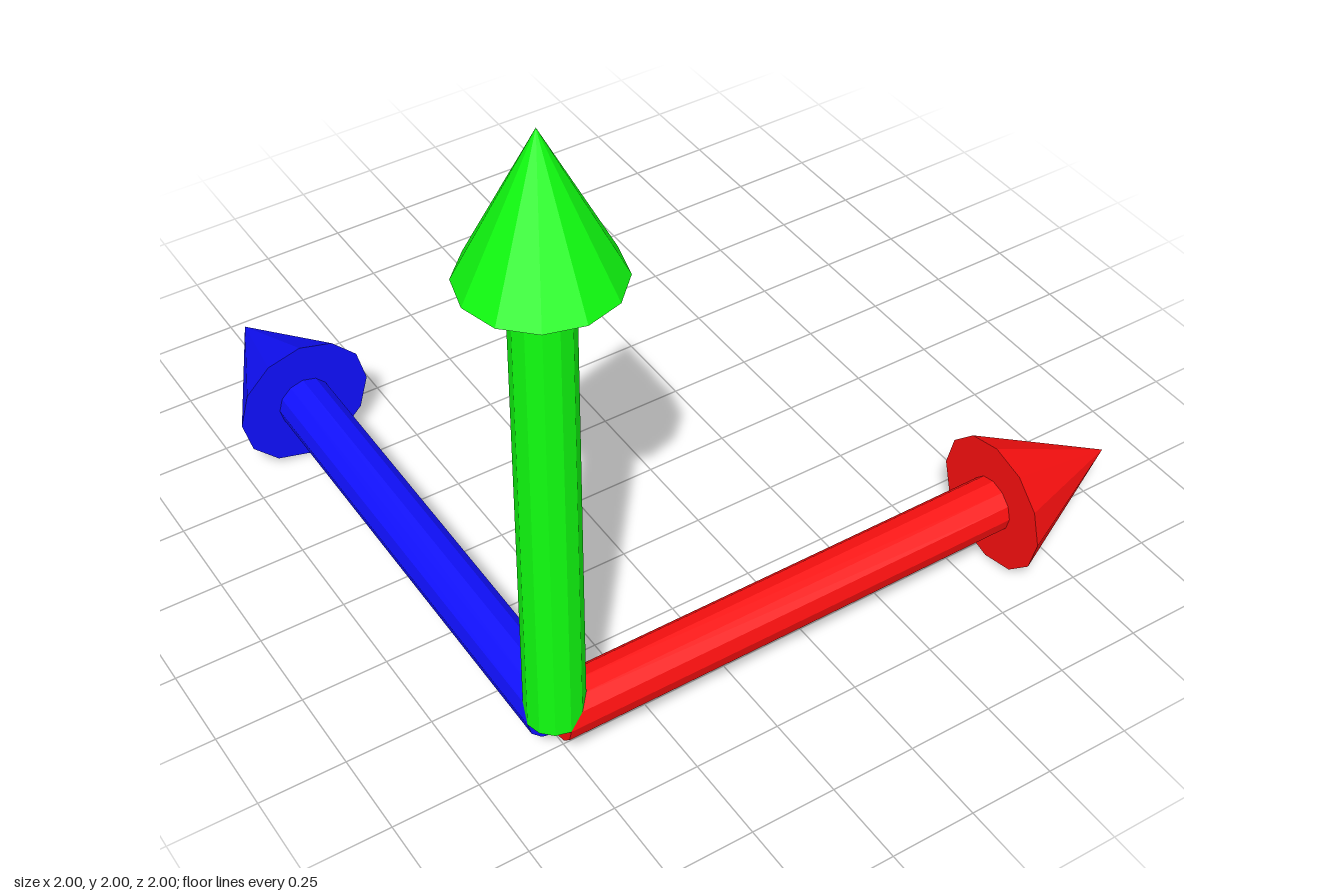
import * as THREE from 'three';

const SIDES = 12;

// One arrow along +y starting at its own origin: closed shaft plus cone head.
function makeArrow(name, color) {
  const material = new THREE.MeshStandardMaterial({ color, flatShading: true });
  const arrow = new THREE.Group();
  arrow.name = name;

  const shaft = new THREE.Mesh(new THREE.CylinderGeometry(0.08, 0.08, 1.4, SIDES), material);
  shaft.name = name + 'Shaft';
  shaft.position.y = 0.7;

  const head = new THREE.Mesh(new THREE.ConeGeometry(0.2, 0.4, SIDES), material);
  head.name = name + 'Head';
  head.position.y = 1.6;

  arrow.add(shaft, head);
  return arrow;
}

export function createModel() {
  const model = new THREE.Group();
  model.name = 'axisArrows';

  // Three arrows share one corner: right (+x), up (+y) and back (-z).
  const sideArrow = makeArrow('sideArrow', 0xff1010);
  sideArrow.rotation.z = -Math.PI / 2;
  const upArrow = makeArrow('upArrow', 0x10ff10);
  const backArrow = makeArrow('backArrow', 0x1010ff);
  backArrow.rotation.x = -Math.PI / 2;

  for (const arrow of [sideArrow, upArrow, backArrow]) {
    arrow.position.set(-0.8, 0.2, 0.8);
    model.add(arrow);
  }
  return model;
}
